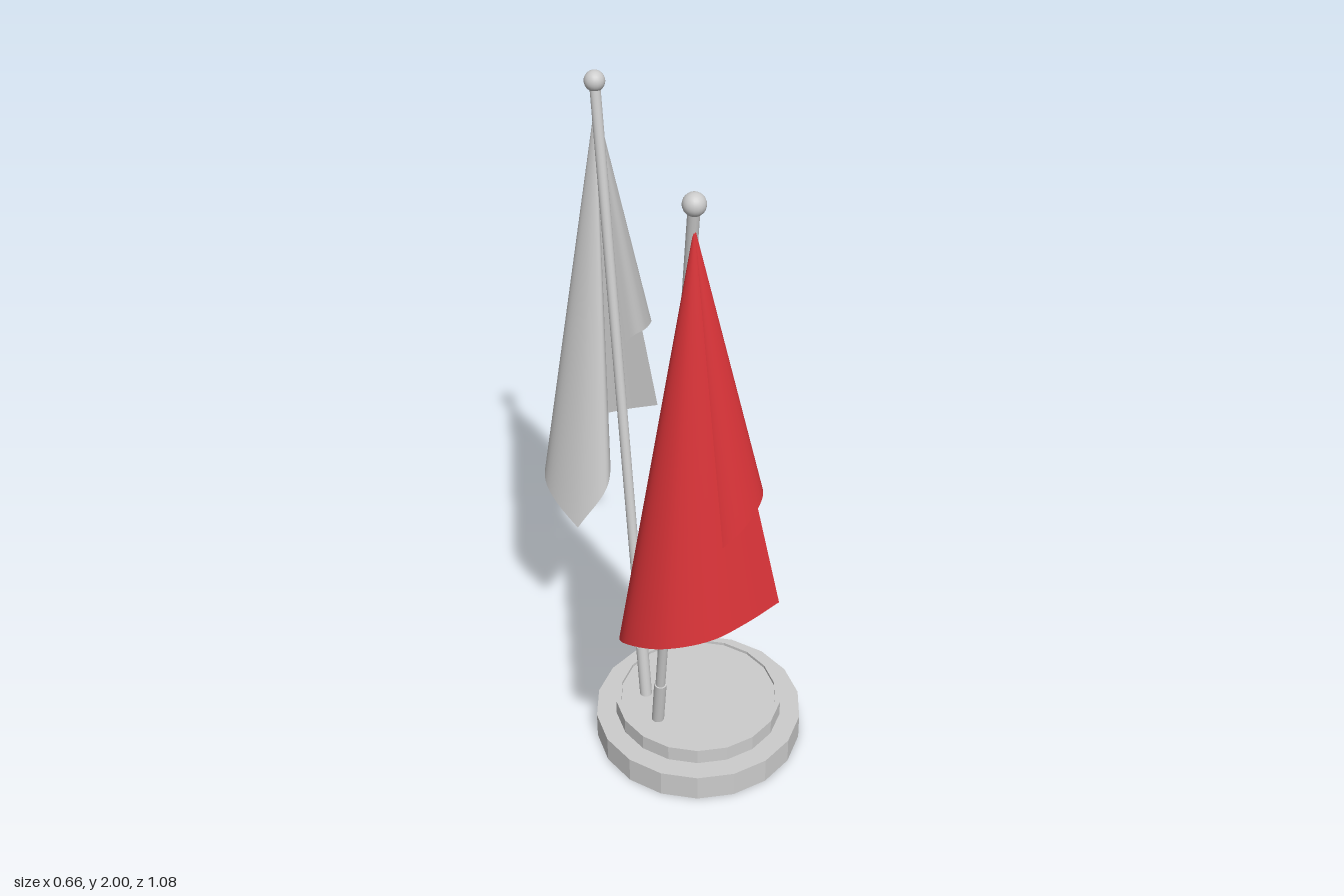
import * as THREE from 'three';

const grey = new THREE.MeshStandardMaterial({ color: 0xcccccc });
const baseGrey = new THREE.MeshStandardMaterial({ color: 0xcccccc, flatShading: true, side: THREE.DoubleSide });
const greyCloth = new THREE.MeshStandardMaterial({ color: 0xcccccc, side: THREE.DoubleSide });
const redCloth = new THREE.MeshStandardMaterial({ color: 0xd93338, side: THREE.DoubleSide });

const POLE_X = -0.13;
const FOOT = new THREE.Vector3(POLE_X, 0.115, 0.057);
const TIP = new THREE.Vector3(POLE_X, 1.972, 0.385);

function mesh(name, geometry, material) {
  const m = new THREE.Mesh(geometry, material);
  m.name = name;
  return m;
}

// Cylinder between two points
function rod(name, a, b, radius) {
  const dir = b.clone().sub(a);
  const m = mesh(name, new THREE.CylinderGeometry(radius, radius, dir.length(), 16), grey);
  m.position.copy(a).add(b).multiplyScalar(0.5);
  m.quaternion.setFromUnitVectors(new THREE.Vector3(0, 1, 0), dir.normalize());
  return m;
}

// Rectangular cloth hung from its top hoist corner and rolled into a loose cone.
// Each key is: angle on the flat cloth from the top edge, sideways x and z of that ruling.
function flagGeometry(mirror) {
  const apex = new THREE.Vector3(POLE_X, 1.92, 0.385);
  const length = 1.07, height = 0.68;
  const keys = [
    [0, 0.18, 0.103], [0.1, 0.085, 0.132], [0.2, -0.01, 0.143], [0.31, -0.115, 0.1],
    [0.43, -0.168, 0], [0.566, -0.112, -0.113], [0.655, -0.045, -0.146],
    [0.73, -0.015, -0.06], [0.83, 0, 0.05], [0.94, 0.03, 0.135], [1.05, 0.12, 0.15],
    [1.18, 0.215, 0.085], [1.32, 0.17, -0.03], [1.45, 0.1, -0.1], [1.57, 0.045, -0.17],
  ];
  const curve = new THREE.CatmullRomCurve3(keys.map((k) => new THREE.Vector3(...k)));
  const cols = (keys.length - 1) * 8, rows = 16;
  const positions = [], indices = [];
  for (let i = 0; i <= cols; i++) {
    const { x, y: dx, z: dz } = curve.getPoint(i / cols);
    const angle = THREE.MathUtils.clamp(x, 0.001, 1.57);
    // Distance along the ruling to the fly edge or the bottom edge
    const reach = Math.min(length / Math.cos(angle), height / Math.sin(angle));
    const dy = -Math.sqrt(1 - dx * dx - dz * dz);
    for (let j = 0; j <= rows; j++) {
      const r = reach * (0.004 + 0.996 * j / rows);
      positions.push(apex.x + dx * r, apex.y + dy * r, mirror * (apex.z + dz * r));
      if (i < cols && j < rows) {
        const a = i * (rows + 1) + j, b = a + rows + 1;
        if (mirror > 0) indices.push(a, a + 1, b, b, a + 1, b + 1);
        else indices.push(a, b, a + 1, b, b + 1, a + 1);
      }
    }
  }
  const g = new THREE.BufferGeometry();
  g.setAttribute('position', new THREE.Float32BufferAttribute(positions, 3));
  g.setIndex(indices);
  g.computeVertexNormals();
  return g;
}

// Pole, sleeve, ball and cloth on one side (mirror is +1 for front, -1 for back)
function flagOnPole(name, mirror, cloth) {
  const group = new THREE.Group();
  group.name = name;
  const side = (v) => new THREE.Vector3(v.x, v.y, v.z * mirror);
  const foot = side(FOOT), tip = side(TIP);
  const sleeveTop = foot.clone().lerp(tip, 0.095);
  const ball = mesh('finial', new THREE.SphereGeometry(0.028, 20, 14), grey);
  ball.position.copy(tip);
  group.add(
    rod('pole', foot, tip, 0.0145),
    rod('poleSleeve', foot, sleeveTop, 0.0185),
    ball,
    mesh('flag', flagGeometry(mirror), cloth),
  );
  return group;
}

export function createModel() {
  const model = new THREE.Group();
  model.name = 'tableFlags';

  // Stepped base, hollow underneath, with a shallow recess on top
  const profile = [
    [0.315, 0], [0.315, 0.085], [0.254, 0.085], [0.254, 0.135],
    [0.238, 0.135], [0.238, 0.125], [0, 0.125],
  ].map((p) => new THREE.Vector2(...p));
  const base = mesh('base', new THREE.LatheGeometry(profile, 18), baseGrey);
  base.position.x = 0.02;

  model.add(base, flagOnPole('frontFlag', 1, redCloth), flagOnPole('backFlag', -1, greyCloth));
  return model;
}
